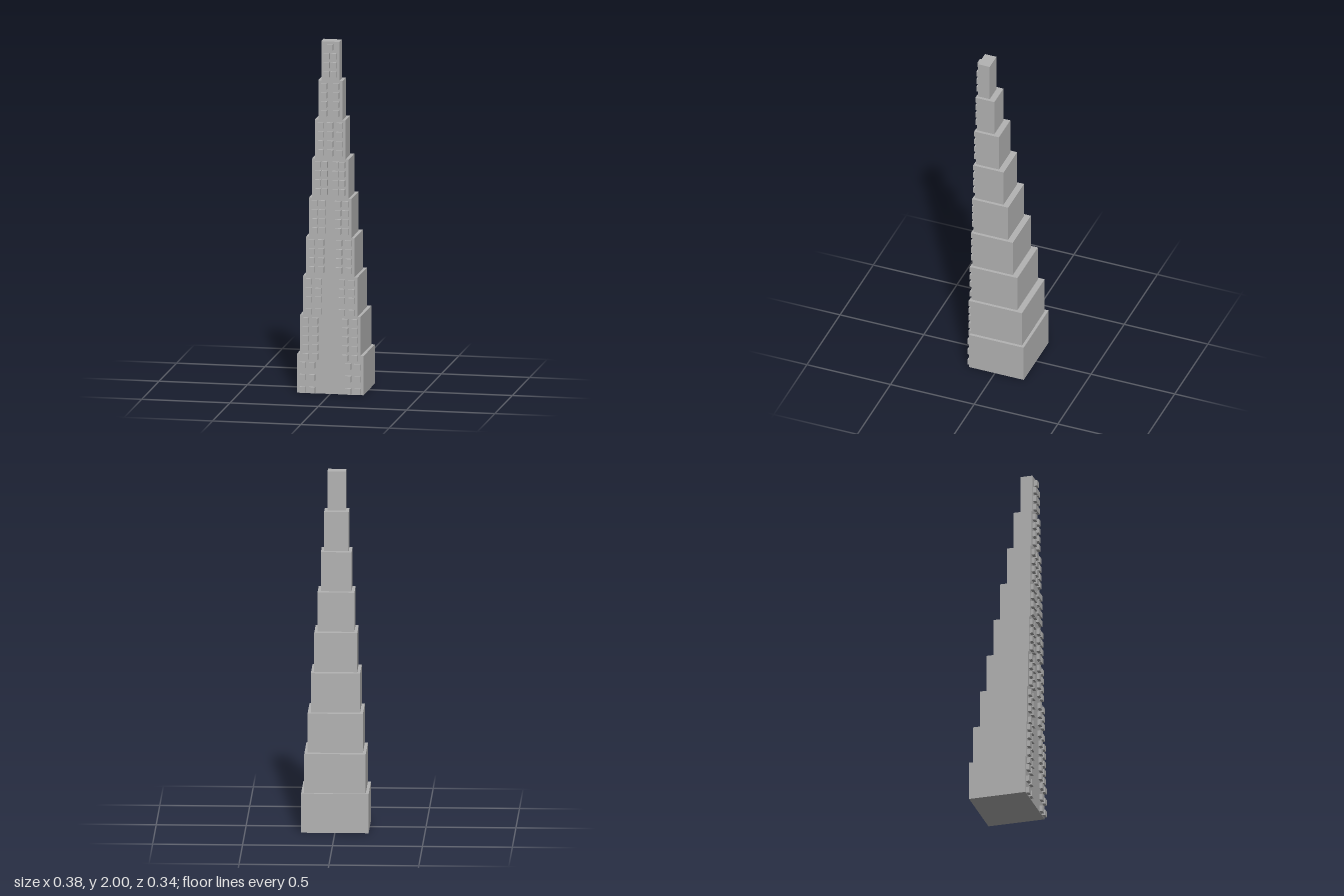
import * as THREE from 'three';

export function createModel() {
  const group = new THREE.Group();
  group.name = 'steppedTower';
  const stone = new THREE.MeshStandardMaterial({ color: 0xb3b3b3 });
  stone.name = 'grey stone';

  const FRONT = 0.154, TIERS = 9, HEIGHT = 2 / TIERS, WINDOW = 0.034;

  // Per tier: window column offsets (mirrored in x) and row heights
  const windows = [
    [[0.155, 0.102], [0.02, 0.091, 0.16]],
    [[0.138, 0.085], [0.209, 0.261, 0.312, 0.363, 0.413]],
    [[0.12, 0.067], [0.466, 0.534, 0.583, 0.635]],
    [[0.103, 0.051], [0.704, 0.755, 0.807, 0.859]],
    [[0.087, 0.045], [0.926, 0.977, 1.029, 1.081]],
    [[0.068, 0.031], [1.148, 1.199, 1.251, 1.303]],
    [[0.052, 0], [1.37, 1.421, 1.473, 1.525]],
    [[0.034], [1.593, 1.644, 1.696, 1.747]],
    [[0.02], [1.815, 1.867, 1.918]],
  ];

  const windowGeometry = new THREE.BoxGeometry(WINDOW, WINDOW, WINDOW);
  const addWindow = (x, y) => {
    const mesh = new THREE.Mesh(windowGeometry, stone);
    mesh.name = 'windowBlock';
    mesh.position.set(x, y, FRONT);
    group.add(mesh);
  };

  for (let i = 0; i < TIERS; i++) {
    // Tier block: flush at the front, stepping in at the sides and back
    const width = 2 * (0.188 - 0.0171 * i);
    const back = i === 0 ? -0.172 : -0.155 + 0.0343 * (i - 1);
    const tier = new THREE.Mesh(new THREE.BoxGeometry(width, HEIGHT, FRONT - back), stone);
    tier.name = `tier${i + 1}`;
    tier.position.set(0, HEIGHT * (i + 0.5), (FRONT + back) / 2);
    group.add(tier);

    // Projecting window blocks on the front face
    const [columns, rows] = windows[i];
    for (const y of rows) {
      for (const x of columns) {
        addWindow(x, y);
        if (x > 0) addWindow(-x, y);
      }
    }
  }

  // Single window at the summit
  addWindow(0, 1.969);
  return group;
}
